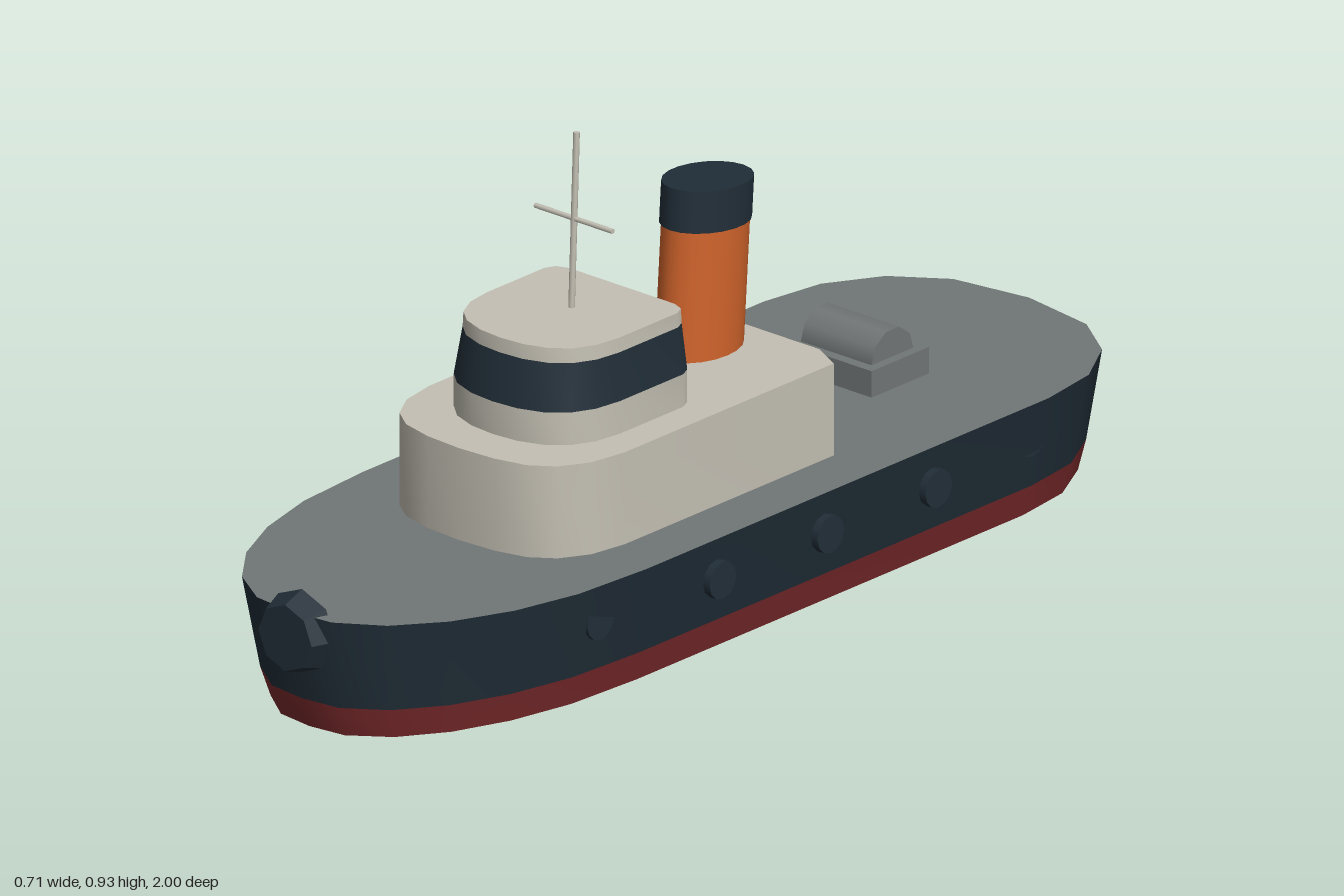
import * as THREE from 'three';
import { toCreasedNormals } from 'three/addons/utils/BufferGeometryUtils.js';

const mat = (name, color, side = THREE.FrontSide) => {
  const m = new THREE.MeshStandardMaterial({ color, side });
  m.name = name;
  return m;
};

// Half outlines [x, z] from stern to bow, mirrored by loft()
const HULL = [[0, -1], [0.16, -0.975], [0.26, -0.905], [0.322, -0.8], [0.342, -0.67], [0.342, 0.41],
  [0.33, 0.58], [0.297, 0.715], [0.245, 0.83], [0.175, 0.92], [0.09, 0.975], [0, 0.985]];
const CABIN = [[0, -0.245], [0.17, -0.245], [0.235, -0.212], [0.235, 0.35], [0.222, 0.425],
  [0.19, 0.48], [0.145, 0.512], [0.08, 0.528], [0, 0.533]];
const BRIDGE = [[0, 0.088], [0.135, 0.088], [0.16, 0.098], [0.17, 0.12], [0.17, 0.29], [0.162, 0.345],
  [0.14, 0.39], [0.105, 0.42], [0.055, 0.438], [0, 0.443]];

// Stack an outline through levels [y, xScale, backZ, frontZ]; optionally close the top
function loft(half, levels, { sides = true, cap = true } = {}) {
  const ring = [...half, ...half.slice(1, -1).reverse().map(([x, z]) => [-x, z])];
  const n = ring.length, z0 = half[0][1], z1 = half[half.length - 1][1];
  const pos = [], idx = [];
  for (const [y, s, back, front] of levels)
    for (const [x, z] of ring) pos.push(x * s, y, back + (z - z0) / (z1 - z0) * (front - back));
  if (sides) for (let l = 0; l < levels.length - 1; l++)
    for (let i = 0; i < n; i++) {
      const a = l * n + i, b = l * n + (i + 1) % n, c = b + n, d = a + n;
      idx.push(a, d, c, a, c, b);
    }
  const top = (levels.length - 1) * n;
  if (cap) for (let i = 1; i < n - 1; i++) idx.push(top, top + i + 1, top + i);
  const g = new THREE.BufferGeometry();
  g.setAttribute('position', new THREE.Float32BufferAttribute(pos, 3));
  g.setIndex(idx);
  return toCreasedNormals(g, 0.6);
}

export function createModel() {
  const ship = new THREE.Group();
  ship.name = 'ship';
  const navy = mat('navy', 0x212e38, THREE.DoubleSide);
  const red = mat('keel red', 0x7d2b2d, THREE.DoubleSide);
  const grey = mat('deck grey', 0x717676, THREE.DoubleSide);
  const cream = mat('cream', 0xc4c0b4);
  const orange = mat('funnel orange', 0xcf632b);

  const add = (name, geometry, material, x = 0, y = 0, z = 0, parent = ship) => {
    const m = new THREE.Mesh(geometry, material);
    m.name = name;
    m.position.set(x, y, z);
    parent.add(m);
    return m;
  };

  // Hull: an open shell, closed by the deck
  const keel = [0, 0.85, -0.975, 0.935], water = [0.06, 0.897, -0.985, 0.955], rail = [0.237, 1, -1, 0.985];
  add('lowerHull', loft(HULL, [keel, water], { cap: false }), red);
  add('upperHull', loft(HULL, [water, rail], { cap: false }), navy);
  add('deck', loft(HULL, [rail], { sides: false }), grey);

  // Cabin and bridge with its window band
  add('cabin', loft(CABIN, [[0.237, 1, -0.245, 0.533], [0.415, 1, -0.245, 0.533]]), cream);
  add('bridgeBase', loft(BRIDGE, [[0.415, 1, 0.088, 0.443], [0.478, 1, 0.088, 0.443]]), cream);
  add('windowBand', loft(BRIDGE, [[0.478, 1, 0.088, 0.443], [0.567, 0.945, 0.094, 0.424]]), navy);
  add('bridgeRoof', loft(BRIDGE, [[0.567, 0.945, 0.094, 0.424], [0.595, 0.94, 0.095, 0.422]]), cream);

  // Oval funnel raked towards the stern
  const funnel = new THREE.Group();
  funnel.name = 'funnel';
  funnel.position.set(0, 0.41, -0.113);
  funnel.rotation.x = -0.07;
  ship.add(funnel);
  const oval = (r, h) => new THREE.CylinderGeometry(r, r, h, 20).scale(1, 1, 1.37);
  add('funnelStack', oval(0.068, 0.26), orange, 0, 0.12, 0, funnel);
  add('funnelCap', oval(0.071, 0.08), navy, 0, 0.287, 0, funnel);

  // Mast and crossbar
  const mast = new THREE.Group();
  mast.name = 'mast';
  mast.position.set(0, 0.59, 0.23);
  mast.rotation.x = -0.04;
  ship.add(mast);
  add('mastPole', new THREE.CylinderGeometry(0.006, 0.006, 0.34, 8), cream, 0, 0.17, 0, mast);
  add('crossbar', new THREE.CylinderGeometry(0.005, 0.005, 0.186, 8).rotateZ(Math.PI / 2), cream, 0, 0.175, 0, mast);

  // Aft hatch with a rounded cover
  add('hatchBase', new THREE.BoxGeometry(0.208, 0.051, 0.155), grey, 0, 0.2625, -0.5375);
  const cover = new THREE.CylinderGeometry(0.057, 0.057, 0.17, 10).rotateZ(Math.PI / 2);
  add('hatchCover', cover, grey, 0, 0.286, -0.5375);

  // Side fenders
  const disc = new THREE.CylinderGeometry(0.036, 0.036, 0.016, 12).rotateZ(Math.PI / 2);
  for (const side of [1, -1])
    for (let i = 0; i < 5; i++) {
      const x = i === 0 || i === 4 ? 0.313 : 0.347;
      add('sideFender', disc, navy, side * x, 0.16, 0.51 - i * 0.29);
    }

  // Bow fender
  const bow = toCreasedNormals(new THREE.CylinderGeometry(0.064, 0.081, 0.046, 8).rotateX(Math.PI / 2), 0.3);
  add('bowFender', bow, navy, 0, 0.19, 0.977);
  return ship;
}
